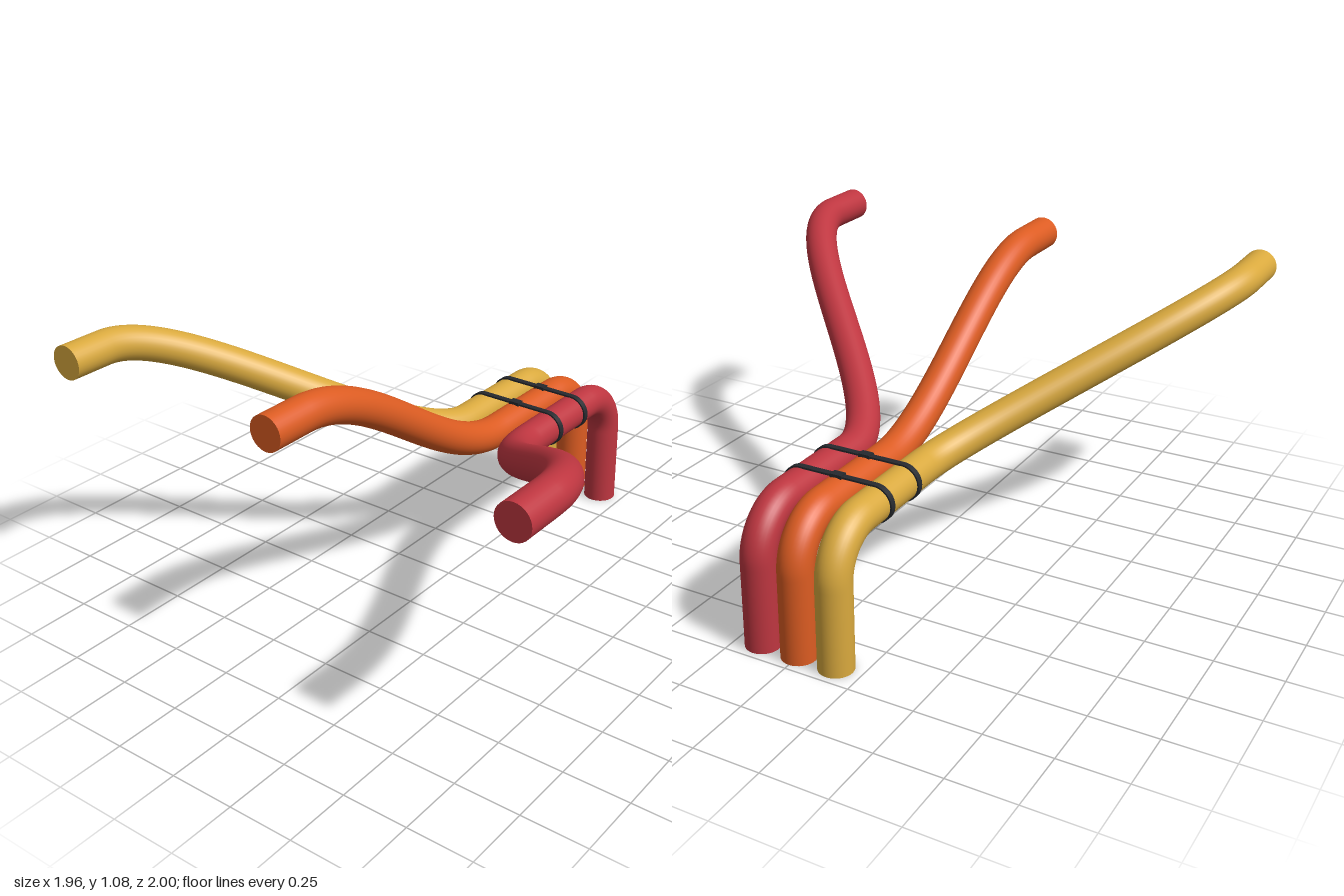
import * as THREE from 'three';

const R = 0.065;        // pipe radius
const PIPE_Y = 0.505;   // height of the bundled run
const END_Y = 1.015;    // height of the fanned-out ends
const BEND = 0.175;     // elbow radius
const FOOT_X = 0.912;

const v = (x, y, z) => new THREE.Vector3(x, y, z);

function material(name, color) {
  const m = new THREE.MeshStandardMaterial({ color });
  m.name = name;
  return m;
}

// Foot, elbow, bundled run, sweeping S-curve, short straight end
function pipePath(z0, z1) {
  const k = BEND * 0.4477, sx = 0.33, ex = -0.81, h = (sx - ex) / 3;
  const path = new THREE.CurvePath();
  const a = v(FOOT_X, 0, z0), b = v(FOOT_X, PIPE_Y - BEND, z0);
  const c = v(FOOT_X - BEND, PIPE_Y, z0), d = v(sx, PIPE_Y, z0);
  const e = v(ex, END_Y, z1), f = v(-0.98, END_Y, z1);
  path.add(new THREE.LineCurve3(a, b));
  path.add(new THREE.CubicBezierCurve3(b, v(FOOT_X, PIPE_Y - k, z0), v(FOOT_X - k, PIPE_Y, z0), c));
  path.add(new THREE.LineCurve3(c, d));
  path.add(new THREE.CubicBezierCurve3(d, v(sx - h, PIPE_Y, z0), v(ex + h, END_Y, z1), e));
  path.add(new THREE.LineCurve3(e, f));
  return path;
}

function makePipe(name, z0, z1, mat) {
  const g = new THREE.Group();
  g.name = name;
  const tube = new THREE.Mesh(new THREE.TubeGeometry(pipePath(z0, z1), 160, R, 32), mat);
  tube.name = name + 'Tube';
  const foot = new THREE.Mesh(new THREE.CircleGeometry(R, 32).rotateX(Math.PI / 2), mat);
  foot.position.set(FOOT_X, 0, z0);
  foot.name = name + 'FootCap';
  const end = new THREE.Mesh(new THREE.CircleGeometry(R, 32).rotateY(-Math.PI / 2), mat);
  end.position.set(-0.98, END_Y, z1);
  end.name = name + 'EndCap';
  g.add(tube, foot, end);
  return g;
}

// Rounded outline enclosing the three pipes
function stadium(path, half, r) {
  path.moveTo(-half, -r);
  path.lineTo(half, -r);
  path.absarc(half, 0, r, -Math.PI / 2, Math.PI / 2, false);
  path.lineTo(-half, r);
  path.absarc(-half, 0, r, Math.PI / 2, Math.PI * 1.5, false);
  return path;
}

// Cable tie: thin loop with a small clasp on top
function makeTie(x, mat) {
  const g = new THREE.Group();
  g.name = 'cableTie';
  const width = 0.024;
  const shape = stadium(new THREE.Shape(), 0.15, R + 0.006);
  shape.holes.push(stadium(new THREE.Path(), 0.15, R - 0.001));
  const geo = new THREE.ExtrudeGeometry(shape, { depth: width, bevelEnabled: false, curveSegments: 20 });
  geo.translate(0, 0, -width / 2).rotateY(Math.PI / 2);
  const band = new THREE.Mesh(geo, mat);
  band.name = 'tieBand';
  const clasp = new THREE.Mesh(new THREE.BoxGeometry(0.032, 0.014, 0.045), mat);
  clasp.position.y = R + 0.004;
  clasp.name = 'tieClasp';
  g.add(band, clasp);
  g.position.set(x, PIPE_Y, 0);
  return g;
}

export function createModel() {
  const model = new THREE.Group();
  model.name = 'pipeBundle';
  const red = material('red', 0xbe3640);
  const orange = material('orange', 0xdc5c22);
  const yellow = material('yellow', 0xd9a93e);
  const black = material('charcoal', 0x26292e);

  model.add(makePipe('frontPipe', 0.15, 0.935, red));
  model.add(makePipe('middlePipe', 0, 0, orange));
  model.add(makePipe('backPipe', -0.15, -0.935, yellow));
  for (const x of [0.457, 0.641]) model.add(makeTie(x, black));
  return model;
}
